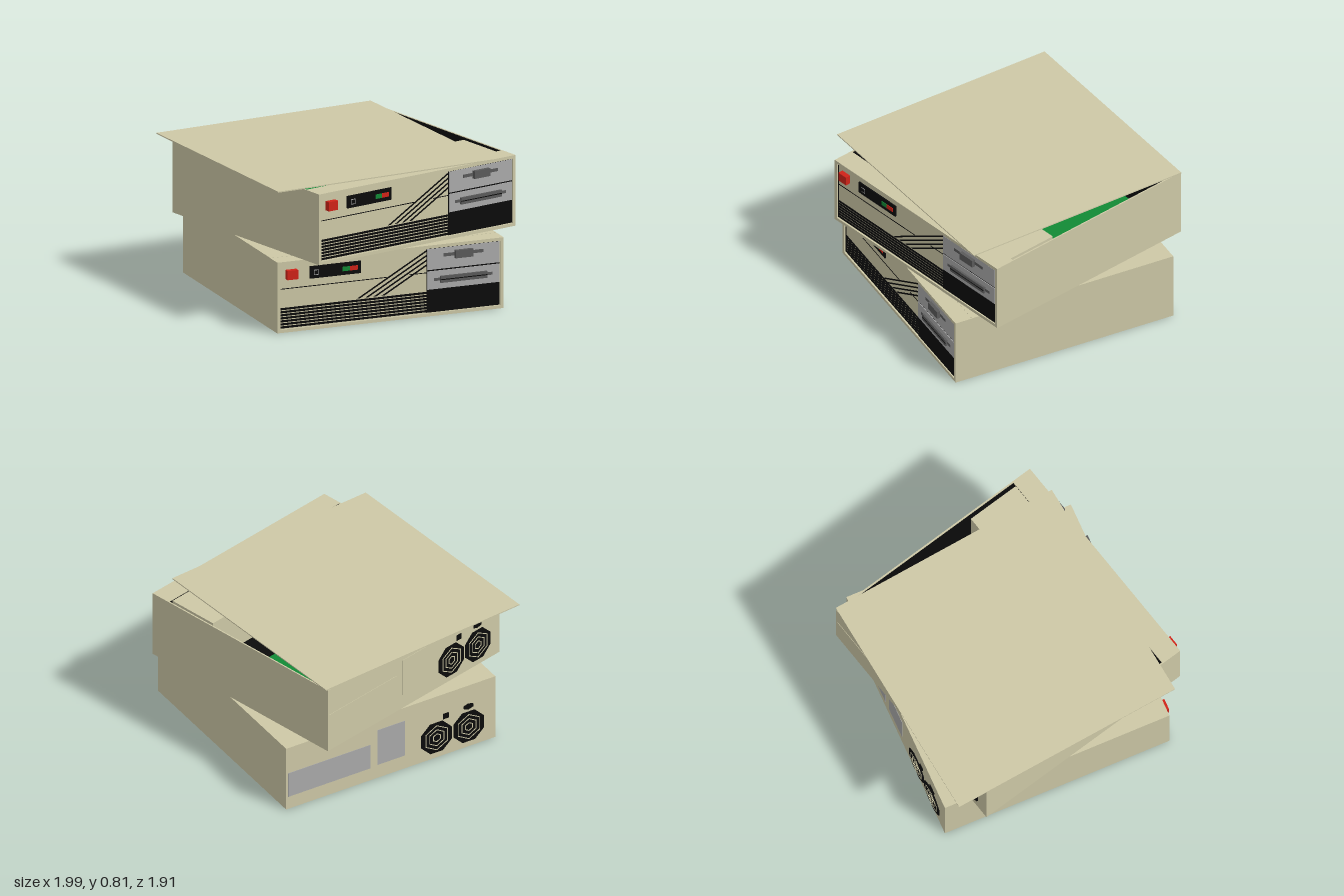
import * as THREE from 'three';

const mat = (color, side = THREE.FrontSide) =>
  new THREE.MeshStandardMaterial({ color, side, flatShading: true });
const beige = mat(0xcdc8a6), black = mat(0x0b0b0b), grey = mat(0xaaaaaa), dark = mat(0x5a5a5a);
const red = mat(0xd02318), green = mat(0x128a35), lining = mat(0x0b0b0b, THREE.BackSide);

const W = 1.335, R = W / 2, H = 0.4, FACE = 0.6575;

// Box given by its extents
function box(parent, name, m, x0, x1, y0, y1, z0, z1) {
  const mesh = new THREE.Mesh(new THREE.BoxGeometry(x1 - x0, y1 - y0, z1 - z0), m);
  mesh.position.set((x0 + x1) / 2, (y0 + y1) / 2, (z0 + z1) / 2);
  mesh.name = name;
  parent.add(mesh);
  return mesh;
}

function polygonRing(sides, outer, inner) {
  const corners = r => Array.from({ length: sides }, (_, i) => {
    const a = (i + 0.5) / sides * Math.PI * 2;
    return new THREE.Vector2(Math.cos(a) * r, Math.sin(a) * r);
  });
  const shape = new THREE.Shape(corners(outer));
  if (inner) shape.holes.push(new THREE.Path(corners(inner)));
  return shape;
}

function extrude(parent, name, m, shape, depth) {
  const mesh = new THREE.Mesh(new THREE.ExtrudeGeometry(shape, { depth, bevelEnabled: false }), m);
  mesh.name = name;
  parent.add(mesh);
  return mesh;
}

// Shell: floor, side walls and back, dark inside
function buildShell(g) {
  const t = 0.008;
  box(g, 'floor', beige, -R, R, 0, t, -R, R - 0.12);
  for (const s of [-1, 1])
    box(g, 'sideWall', beige, s < 0 ? -R : R - t, s < 0 ? -R + t : R, 0, H, -R, R - 0.12);
  box(g, 'backWall', beige, -R, R, 0, H, -R, -R + t);
  box(g, 'innerLining', lining, -R + t + 0.002, R - t - 0.002, t + 0.002, H - 0.002, -R + t + 0.002, R - 0.122);
}

// Front panel: everything is placed by distance u from its left edge
function buildFront(parent) {
  const g = new THREE.Group();
  g.name = 'frontPanel';
  parent.add(g);
  const part = (name, m, u0, u1, y0, y1, h, base = 0) =>
    box(g, name, m, u0 - R, u1 - R, y0, y1, FACE + base - 0.001, FACE + base + h);
  box(g, 'bezel', beige, -R, R, 0, H, R - 0.12, FACE);

  // Raised rim
  const rim = new THREE.Shape([[-R, 0], [R, 0], [R, H], [-R, H]].map(p => new THREE.Vector2(...p)));
  const b = 0.018;
  rim.holes.push(new THREE.Path([[-R + b, b], [-R + b, H - b], [R - b, H - b], [R - b, b]]
    .map(p => new THREE.Vector2(...p))));
  extrude(g, 'rim', beige, rim, R - FACE).position.z = FACE;
  part('rimShadow', black, 0.018, 0.023, 0.02, 0.38, 0.002);

  // Power switch and display
  part('powerSwitch', red, 0.052, 0.115, 0.3, 0.352, 0.03);
  part('display', black, 0.195, 0.495, 0.288, 0.357, 0.008);
  part('displayKey', grey, 0.217, 0.247, 0.306, 0.336, 0.001, 0.008);
  part('displayKeyCentre', black, 0.221, 0.243, 0.31, 0.332, 0.002, 0.008);
  part('greenLight', green, 0.385, 0.427, 0.31, 0.335, 0.003, 0.008);
  part('redLight', red, 0.427, 0.475, 0.31, 0.335, 0.003, 0.008);

  // Grooves and vents
  part('groove', black, 0.022, 0.65, 0.243, 0.247, 0.002);
  part('groove', black, 0.78, 0.884, 0.243, 0.247, 0.002);
  for (let i = 0; i < 7; i++)
    part('ventSlot', black, 0.022, 0.884, 0.023 + i * 0.0172, 0.0345 + i * 0.0172, 0.003);

  // Slanted stripes, all ending at the drive bay
  const slope = 0.23 / 0.409;
  for (let i = 0; i < 4; i++) {
    const u0 = 0.475 + i * 0.048, u1 = 0.884, y0 = 0.144, y1 = y0 + (u1 - u0) * slope, w = 0.009;
    const stripe = new THREE.Shape([[u0 - R, y0], [u0 + w * 1.8 - R, y0], [u1 - R, y1 - w], [u1 - R, y1]]
      .map(p => new THREE.Vector2(...p)));
    extrude(g, 'slantedStripe', black, stripe, 0.003).position.z = FACE - 0.0005;
  }

  // Drive bay
  part('bayBack', black, 0.884, 1.314, 0.02, 0.38, 0.004);
  part('upperDrive', grey, 0.886, 1.312, 0.261, 0.379, 0.008);
  part('lowerDrive', grey, 0.886, 1.312, 0.15, 0.253, 0.008);
  part('upperSlot', dark, 0.98, 1.215, 0.329, 0.347, 0.002, 0.008);
  part('upperLatch', dark, 1.045, 1.15, 0.316, 0.36, 0.02, 0.008);
  part('lowerSlot', dark, 0.925, 1.27, 0.196, 0.212, 0.002, 0.008);
  part('lowerLatch', dark, 0.96, 1.235, 0.184, 0.222, 0.012, 0.008);
  part('lowerLatchGap', black, 0.96, 1.235, 0.2, 0.205, 0.001, 0.02);
}

// Rear: two fan grilles, sockets and cover plates
function buildBack(parent, plateMaterial) {
  const g = new THREE.Group();
  g.name = 'rearPanel';
  g.rotation.y = Math.PI;
  parent.add(g);
  const part = (name, m, x0, x1, y0, y1, h) => box(g, name, m, x0, x1, y0, y1, R - 0.001, R + h);
  for (const x of [0.29, 0.495]) {
    const fan = new THREE.Group();
    fan.name = 'fanGrille';
    fan.position.set(x, 0.134, R);
    g.add(fan);
    extrude(fan, 'fanPlate', black, polygonRing(8, 0.104), 0.006);
    for (const r of [0.082, 0.055, 0.028])
      extrude(fan, 'grilleRing', beige, polygonRing(6, r, r - 0.005), 0.008);
  }
  part('switchSocket', black, 0.332, 0.368, 0.238, 0.272, 0.004);
  const socket = extrude(g, 'powerSocket', black, polygonRing(6, 0.034), 0.004);
  socket.scale.y = 0.55;
  socket.position.set(0.495, 0.265, R);
  part('wideCoverPlate', plateMaterial, -0.655, -0.132, 0.08, 0.235, 0.002);
  part('tallCoverPlate', plateMaterial, -0.085, 0.09, 0.086, 0.315, 0.002);
}

function buildUnit(name, plateMaterial) {
  const g = new THREE.Group();
  g.name = name;
  buildShell(g);
  buildFront(g);
  buildBack(g, plateMaterial);
  return g;
}

export function createModel() {
  const model = new THREE.Group();
  model.name = 'stackedComputers';

  // Closed lower unit
  const lower = buildUnit('lowerComputer', grey);
  box(lower, 'closedLid', beige, -R, R, H - 0.006, H + 0.001, -R, R - 0.1);
  lower.position.set(0.046, 0, -0.015);
  lower.rotation.y = Math.PI / 4;

  // Opened upper unit with its insides
  const upper = buildUnit('upperComputer', beige);
  box(upper, 'driveCage', beige, 0.217, 0.637, 0.15, H - 0.006, 0.237, R - 0.12);
  box(upper, 'circuitBoard', green, -0.1, 0.605, 0.05, 0.062, -0.6, 0.13);
  upper.position.set(0.05, 0.403, -0.015);
  upper.rotation.y = THREE.MathUtils.degToRad(59.1);

  // Loose lid lying askew on top
  const lid = new THREE.Group();
  lid.name = 'looseLid';
  box(lid, 'lidPlate', beige, -R, R, 0, 0.006, -0.68, 0.68);
  lid.position.set(-0.055, 0.804, 0.01);
  lid.rotation.y = THREE.MathUtils.degToRad(51.5);

  model.add(lower, upper, lid);
  return model;
}
